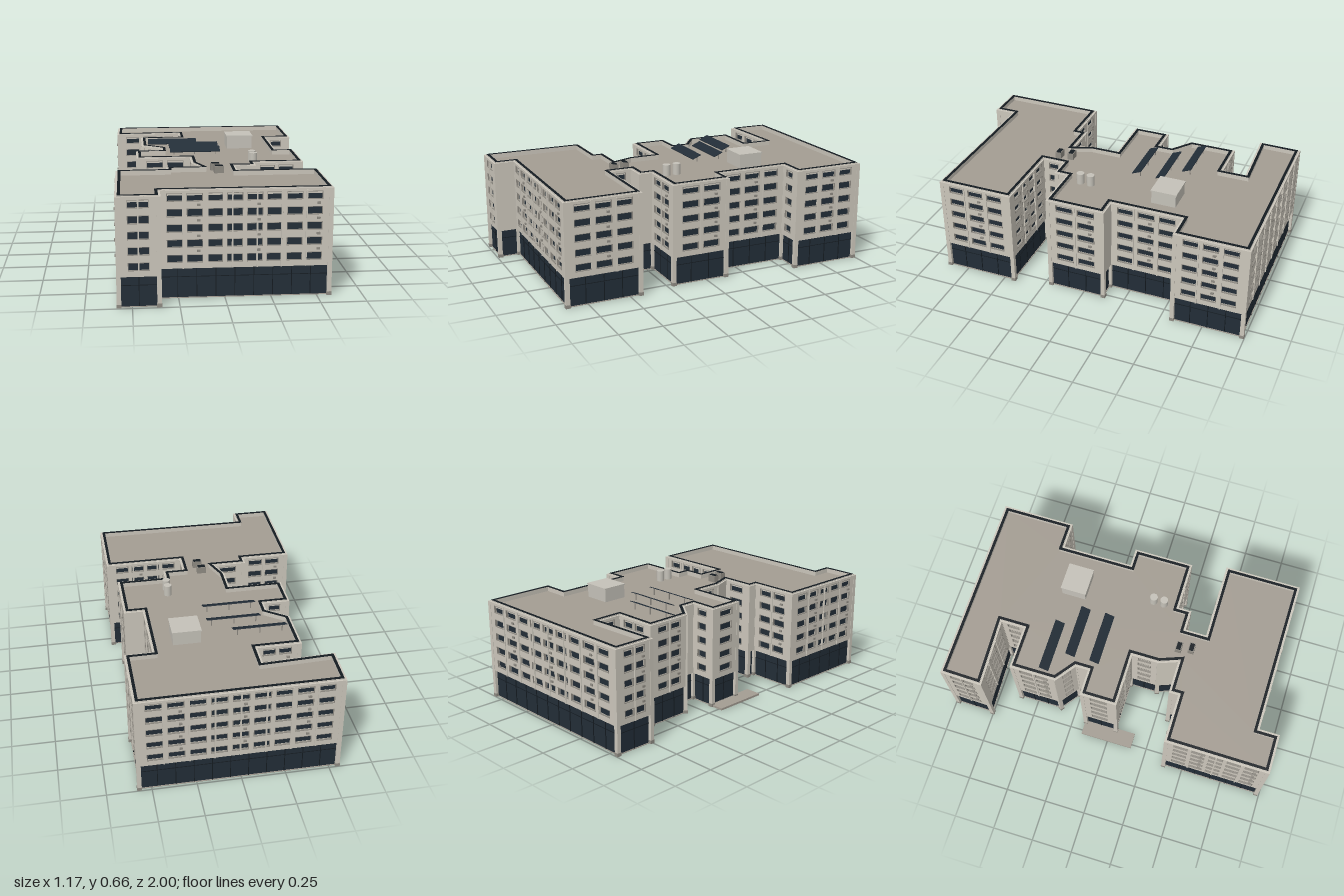
import * as THREE from 'three';

const mat = (name, color) => new THREE.MeshStandardMaterial({ name, color });

export function createModel() {
  const model = new THREE.Group();
  model.name = 'officeBlock';
  const cream = mat('cream concrete', 0xcbc6bb);
  const glass = mat('dark glass', 0x222d37);
  const trim = mat('black trim', 0x141b21);
  const roofing = mat('roof grey', 0xa39c92);
  const grey = mat('frame grey', 0x8f8b83);
  const light = mat('plant housing', 0xc4c1b8);

  // Footprint as [x, z], wound so that each edge has the outside on its +z side
  const plan = [
    [-0.55, -0.985], [0.568, -0.985], [0.568, -0.57], [0.41, -0.57], [0.41, -0.125], [0.52, -0.125],
    [0.52, 0.21], [0.228, 0.21], [0.228, 0.288], [0.105, 0.288], [0.105, 0.437], [0.568, 0.437],
    [0.568, 0.87], [-0.357, 0.86], [-0.357, 0.98], [-0.57, 0.98], [-0.565, 0.382], [-0.275, 0.382],
    [-0.275, 0.325], [-0.075, 0.325], [-0.12, 0.205], [-0.12, 0.033], [-0.44, 0.033], [-0.44, -0.165],
    [-0.283, -0.165], [-0.283, -0.257], [-0.4, -0.345], [-0.4, -0.61], [-0.145, -0.61], [-0.145, -0.772],
    [-0.555, -0.755],
  ].reverse().map(([x, z]) => new THREE.Vector2(x, z));
  const count = plan.length;
  const at = (i) => plan[(i + count) % count];
  const normal = (i) => {
    const d = at(i + 1).clone().sub(at(i)).normalize();
    return new THREE.Vector2(-d.y, d.x);
  };

  // Footprint grown or shrunk by d, in shape coordinates (x, -z)
  const outline = (d) => plan.map((p, i) => {
    const a = normal(i - 1), b = normal(i);
    const k = d / (1 + a.dot(b));
    return new THREE.Vector2(p.x + (a.x + b.x) * k, -(p.y + (a.y + b.y) * k));
  });

  const add = (parent, name, geometry, material, x = 0, y = 0, z = 0) => {
    const mesh = new THREE.Mesh(geometry, material);
    mesh.name = name;
    mesh.position.set(x, y, z);
    parent.add(mesh);
    return mesh;
  };
  const box = (parent, name, material, w, h, d, x, y, z) =>
    add(parent, name, new THREE.BoxGeometry(w, h, d), material, x, y, z);

  // Horizontal slab, or ring when an inner offset is given
  const slab = (name, material, y0, y1, outer, inner) => {
    const shape = new THREE.Shape(outline(outer));
    if (inner !== undefined) shape.holes.push(new THREE.Path(outline(inner)));
    const g = new THREE.ExtrudeGeometry(shape, { depth: y1 - y0, bevelEnabled: false });
    add(model, name, g.rotateX(-Math.PI / 2), material, 0, y0, 0);
  };
  slab('baseSlab', roofing, 0, 0.004, 0);
  slab('glassCore', glass, 0.004, 0.57, -0.005);
  slab('roofDeck', roofing, 0.57, 0.577, -0.008);
  slab('cornice', cream, 0.591, 0.6, 0.012, -0.012);
  slab('parapet', cream, 0.57, 0.605, 0.002, -0.014);
  slab('parapetCap', trim, 0.605, 0.607, -0.001, -0.017);

  const rect = (Type, x0, x1, y0, y1) => new Type([
    [x0, y0], [x1, y0], [x1, y1], [x0, y1],
  ].map(([x, y]) => new THREE.Vector2(x, y)));

  // One facade per footprint edge
  const floors = 5, floorStep = 0.0843, sill = 0.203, winH = 0.043;
  plan.forEach((a, e) => {
    const b = at(e + 1);
    const length = a.distanceTo(b);
    const wall = new THREE.Group();
    wall.name = 'facade';
    wall.position.set(a.x, 0, a.y);
    wall.rotation.y = Math.atan2(a.y - b.y, b.x - a.x);
    model.add(wall);

    // Upper wall panel pierced by windows
    const panel = rect(THREE.Shape, 0, length, 0.17, 0.594);
    const frames = [];
    const columns = length < 0.13 ? 0 : Math.floor(length / 0.115);
    const cell = (length - 0.07) / columns;
    for (let c = 0; c < columns; c++) {
      const mid = 0.035 + cell * (c + 0.5), half = cell * 0.39;
      for (let f = 0; f < floors; f++) {
        const y = sill + f * floorStep;
        panel.holes.push(rect(THREE.Path, mid - half, mid + half, y, y + winH));
        const frame = rect(THREE.Shape, mid - half - 0.001, mid + half + 0.001, y - 0.001, y + winH + 0.001);
        frame.holes.push(rect(THREE.Path, mid - half + 0.002, mid + half - 0.002, y + 0.002, y + winH - 0.002));
        frames.push(frame);
        // Small ventilation boxes below every third window
        if (c % 3 === 1 && f > 0) box(wall, 'ventBox', grey, 0.018, 0.012, 0.01, mid + half * 0.5, y - 0.02, 0.013);
      }
    }
    add(wall, 'wallPanel', new THREE.ExtrudeGeometry(panel, { depth: 0.016, bevelEnabled: false }), cream, 0, 0, -0.006);
    if (frames.length) {
      add(wall, 'windowFrames', new THREE.ExtrudeGeometry(frames, { depth: 0.012, bevelEnabled: false }), grey, 0, 0, -0.001);
    }

    // Slim pilasters over the panel
    const bays = Math.round(length / 0.14);
    for (let k = 1; k < bays; k++) {
      box(wall, 'pilaster', cream, 0.008, 0.424, 0.012, (k * length) / bays, 0.382, 0.009);
    }

    // Ground floor glazing bars
    const panes = Math.max(1, Math.round(length / 0.1));
    for (let k = 1; k < panes; k++) {
      box(wall, 'mullion', trim, 0.004, 0.166, 0.005, (k * length) / panes, 0.087, -0.004);
    }
    box(wall, 'transom', trim, length, 0.003, 0.004, length / 2, 0.12, -0.004);

    // Corner column with plinth
    box(wall, 'cornerColumn', cream, 0.024, 0.594, 0.024, 0, 0.297, 0);
    box(wall, 'columnPlinth', grey, 0.027, 0.02, 0.027, 0, 0.01, 0);
  });

  // Entrance terrace
  box(model, 'terrace', roofing, 0.095, 0.012, 0.325, -0.477, 0.006, -0.008);

  // Tilted solar panels
  [[-0.213, -0.425], [-0.085, -0.305], [-0.085, -0.157]].forEach(([x, z]) => {
    box(model, 'solarPanel', glass, 0.312, 0.004, 0.06, x, 0.612, z).rotation.x = 0.4;
    for (const s of [-0.13, 0, 0.13]) {
      box(model, 'panelLeg', grey, 0.005, 0.04, 0.005, x + s, 0.595, z - 0.015);
    }
  });

  // Roof plant room with lid
  box(model, 'plantRoom', light, 0.16, 0.08, 0.146, 0.215, 0.615, -0.405);
  box(model, 'plantRoomLid', light, 0.168, 0.007, 0.155, 0.215, 0.658, -0.405);

  // Round roof vents
  for (const z of [0.064, 0.128]) {
    add(model, 'roofVent', new THREE.CylinderGeometry(0.023, 0.023, 0.066, 20), light, 0.245, 0.609, z);
  }

  // Cooling units with dark fan plates
  [[0, 0.292], [0.015, 0.366]].forEach(([x, z]) => {
    box(model, 'coolingUnit', grey, 0.056, 0.042, 0.036, x, 0.597, z);
    box(model, 'fanPlate', trim, 0.046, 0.003, 0.026, x, 0.619, z);
  });

  return model;
}
